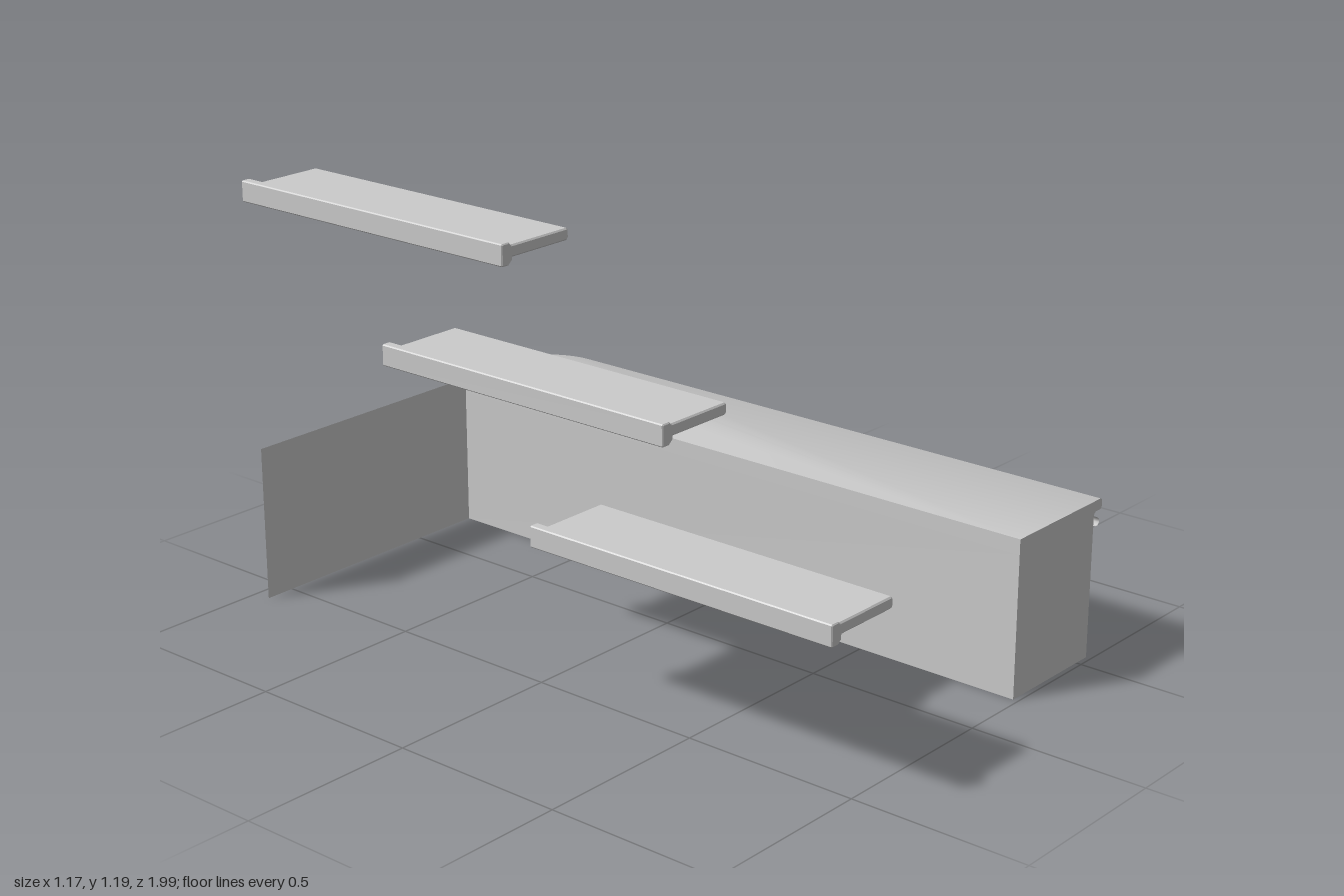
import * as THREE from 'three';
import { toCreasedNormals } from 'three/addons/utils/BufferGeometryUtils.js';

const material = new THREE.MeshStandardMaterial({ color: 0xcccccc });
const sheetMaterial = new THREE.MeshStandardMaterial({ color: 0xcccccc, side: THREE.DoubleSide });

const INNER_X = 0.205, FRONT_Z = 0.985;
const CORNER = { x: 0.385, z: -0.795, r: 0.155 };

function addMesh(parent, name, geometry, mat = material) {
  const mesh = new THREE.Mesh(geometry, mat);
  mesh.name = name;
  parent.add(mesh);
  return mesh;
}

// Outer edge in plan, from the front end, round the back corner, to the inner end.
// The offset may drift from the front to the back.
function outerEdge(offFront, offCorner = offFront, offBack = offFront, steps = 16) {
  const pts = [[0.548 + offFront, FRONT_Z]];
  for (let i = 0; i <= steps; i++) {
    const t = i / steps, a = t * Math.PI / 2;
    const r = CORNER.r + offCorner + (offBack - offCorner) * t;
    pts.push([CORNER.x + r * Math.cos(a), CORNER.z - r * Math.sin(a)]);
  }
  pts.push([INNER_X, CORNER.z - CORNER.r - offBack]);
  return pts;
}

// Skin closed rings of equal length, optionally capping both ends (convex rings)
function loft(rings, crease) {
  const n = rings[0].length, pos = rings.flat(2), index = [];
  for (let i = 0; i < rings.length - 1; i++) {
    for (let j = 0; j < n; j++) {
      const k = (j + 1) % n;
      const a = i * n + j, b = i * n + k, c = a + n, d = b + n;
      index.push(a, b, d, a, d, c);
    }
  }
  const last = (rings.length - 1) * n;
  for (let j = 1; j < n - 1; j++) {
    index.push(0, j + 1, j, last, last + j, last + j + 1);
  }
  const g = new THREE.BufferGeometry();
  g.setAttribute('position', new THREE.Float32BufferAttribute(pos, 3));
  g.setIndex(index);
  return toCreasedNormals(g.toNonIndexed(), crease);
}

// Counter block with its overhanging, softened top
function counterGeometry() {
  const profile = [[0, 0], [0, 0.398], [0.003, 0.406], [0.01, 0.41], [0.03, 0.41], [0.035, 0.413],
    [0.037, 0.418], [0.037, 0.432], [0.035, 0.437], [0.03, 0.44]];
  const rings = profile.map(([off, y]) =>
    [[INNER_X, FRONT_Z], ...outerEdge(off)].map(([x, z]) => [x, y, z]));
  return loft(rings, 0.6);
}

// Foot rail: an eight-sided section carried along the outer edge
function railGeometry() {
  const path = outerEdge(0.015, 0.022, 0.034);
  const rings = path.map(([x, z], i) => {
    const p = path[Math.max(i - 1, 0)], q = path[Math.min(i + 1, path.length - 1)];
    const dx = q[0] - p[0], dz = q[1] - p[1], len = Math.hypot(dx, dz);
    const nx = -dz / len, nz = dx / len;
    return Array.from({ length: 8 }, (_, j) => {
      const a = (j + 0.5) * Math.PI / 4;
      const out = 0.0135 * Math.cos(a), up = 0.012 * Math.sin(a);
      return [x + nx * out, 0.379 + up, z + nz * out];
    });
  });
  return loft(rings, 0.9);
}

// Bar with a polygonal x-y section, centred along z, with chamfered ends
function chamferedBar(points, length, bevel) {
  const shape = new THREE.Shape(points.map(([x, y]) => new THREE.Vector2(x, y)));
  const g = new THREE.ExtrudeGeometry(shape, {
    depth: length - 2 * bevel, bevelEnabled: true, bevelThickness: bevel,
    bevelSize: bevel, bevelOffset: -bevel, bevelSegments: 1,
  });
  return g.translate(0, 0, -length / 2 + bevel);
}

function createShelf() {
  const shelf = new THREE.Group();
  addMesh(shelf, 'shelfBackBar', chamferedBar([
    [-0.584, -0.029], [-0.562, -0.029], [-0.549, -0.018], [-0.549, 0.018],
    [-0.562, 0.029], [-0.584, 0.029], [-0.587, 0.026], [-0.587, -0.026],
  ], 0.948, 0.003));
  addMesh(shelf, 'shelfBoard', chamferedBar([
    [-0.556, -0.016], [-0.338, -0.016], [-0.332, -0.010],
    [-0.332, 0.010], [-0.338, 0.016], [-0.556, 0.016],
  ], 0.922, 0.004));
  return shelf;
}

export function createModel() {
  const model = new THREE.Group();
  model.name = 'counterWithShelves';

  addMesh(model, 'counter', counterGeometry());
  addMesh(model, 'footRail', railGeometry());

  // Thin return panel behind, continuing the counter's back face
  const panel = addMesh(model, 'backPanel', new THREE.PlaneGeometry(INNER_X + 0.587, 0.44), sheetMaterial);
  panel.position.set((INNER_X - 0.587) / 2, 0.22, -0.95);

  // Three wall shelves, stepping up towards the back
  [[0.446, 0.524], [0.814, 0.014], [1.159, -0.5]].forEach(([y, z], i) => {
    const shelf = createShelf();
    shelf.name = `shelf${i + 1}`;
    shelf.position.set(0, y, z);
    model.add(shelf);
  });
  return model;
}
